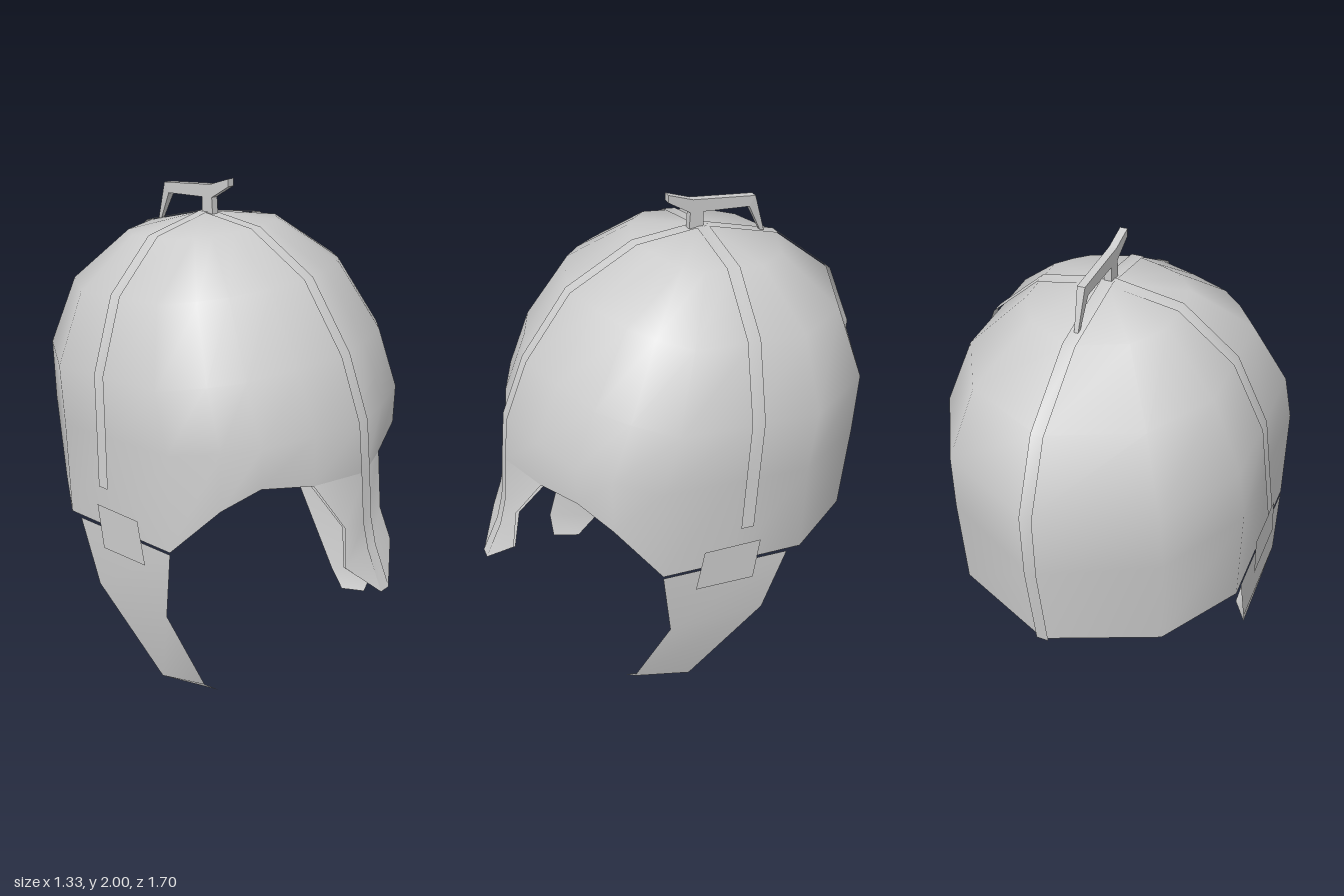
import * as THREE from 'three';
import { mergeVertices } from 'three/addons/utils/BufferGeometryUtils.js';

const material = new THREE.MeshStandardMaterial({ color: 0xcccccc, side: THREE.DoubleSide });

// Smooth sheet through rows of [x, y, z] points; rows x columns faces outward.
function sheet(name, rows) {
  const n = rows[0].length, index = [];
  for (let i = 0; i < rows.length - 1; i++) {
    for (let j = 0; j < n - 1; j++) {
      const a = i * n + j, b = a + n;
      index.push(a, b, a + 1, a + 1, b, b + 1);
    }
  }
  let g = new THREE.BufferGeometry();
  g.setAttribute('position', new THREE.Float32BufferAttribute(rows.flat(2), 3));
  g.setIndex(index);
  g = mergeVertices(g, 1e-4);
  g.computeVertexNormals();
  const mesh = new THREE.Mesh(g, material);
  mesh.name = name;
  return mesh;
}

const flip = ([x, y, z]) => [-x, y, z];
const mirrorRows = (rows) => rows.map((r) => r.map(flip).reverse());
// Completes a front-to-back half row into a closed ring.
const fullRing = (half) => [...half, ...half.slice(0, -1).reverse().map(flip)];

// Half outline of the helmet, front to back: [x as share of width, z]
const plan = [[0, 0.69], [0.32, 0.63], [0.635, 0.55], [0.81, 0.45], [1, 0.3],
  [1, 0], [1, -0.31], [0.69, -0.64], [0, -0.845]];

// Tilted rings, top to bottom: half width, front [y, z], back [y, z], drop at the sides
const rings = [
  { w: 0.28, f: [1.83, 0.13], b: [1.76, -0.47], dip: 0 },
  { w: 0.49, f: [1.69, 0.4], b: [1.55, -0.73], dip: 0.015 },
  { w: 0.61, f: [1.44, 0.59], b: [1.27, -0.85], dip: 0.025 },
  { w: 0.63, f: [1.2, 0.69], b: [1.0, -0.845], dip: 0 },
];
const apex = [0, 1.852, -0.15];

// Lower rim with the raised eye openings
const rim = [[0, 1.0, 0.715], [0.2, 0.985, 0.63], [0.4, 1.02, 0.55], [0.51, 0.93, 0.45],
  [0.63, 0.74, 0.3], [0.63, 0.703, 0], [0.63, 0.667, -0.31], [0.43, 0.635, -0.62], [0, 0.61, -0.79]];

function ringPoints({ w, f, b, dip }) {
  return plan.map(([px, pz]) => {
    const t = (pz + 0.845) / 1.535;
    return [px * w, b[0] + (f[0] - b[0]) * t - dip * px, b[1] + (f[1] - b[1]) * t];
  });
}

// Moves a point from the outer wall to the inner wall
const inset = ([x, y, z]) => [x * 0.972, y - 0.02 * Math.max(0, y - 1) / 0.85, -0.08 + (z + 0.08) * 0.972];

export function createModel() {
  const group = new THREE.Group();
  group.name = 'helmet';

  // Domed shell, and a lining that starts with the thickness of the rim
  const shellRows = [plan.map(() => apex), ...rings.map(ringPoints), rim];
  group.add(sheet('shell', shellRows.map(fullRing)));
  const liningRows = [rim, ...shellRows.map((r) => r.map(inset)).reverse()];
  group.add(sheet('lining', liningRows.map(fullRing)));

  // Nose guard in two layers that meet at the tip: side and centre point of each row
  const nose = [
    [[0.2, 0.985, 0.63], [0, 1.0, 0.715]],
    [[0.11, 0.8, 0.72], [0, 0.8, 0.737]],
    [[0.145, 0.655, 0.755], [0, 0.69, 0.767]],
    [[0.025, 0.53, 0.845], [0, 0.53, 0.847]],
  ];
  for (const [name, gap] of [['noseGuard', 0], ['noseGuardBack', 0.007]]) {
    group.add(sheet(name, nose.map(([s, c], i) => [flip(s), c, s]
      .map(([x, y, z]) => [x, y, z - gap * (3 - i)]))));
  }

  // Band along the middle, from the back rim over the top to the nose tip
  const e = 0.003;
  const middle = [
    [0.61, -0.79 - e],
    ...[...rings].reverse().map((r) => [r.b[0] + e, r.b[1] - e]),
    [apex[1] + e, apex[2]],
    ...rings.map((r) => [r.f[0] + e, r.f[1] + e]),
    [1.0, 0.715 + e], [0.8, 0.737 + e], [0.69, 0.767 + e], [0.53, 0.847],
  ];
  group.add(sheet('middleBand', middle.map(([y, z]) => [[-0.025, y, z], [0.025, y, z]])));

  // Band across the head, standing slightly off at its lower ends
  const across = [[0.667, 0.9], [0.645, 1.1], [0.619, 1.345], [0.496, 1.622], [0.283, 1.804]];
  const path = [...across.map(([x, y]) => [-x, y]), [0, apex[1] + e], ...[...across].reverse()];
  group.add(sheet('crossBand', path.map(([x, y]) => {
    const z = -0.037 - (y - 0.9) * 0.11;
    return [[x, y + 0.003, z + 0.027], [x, y - 0.003, z - 0.027]];
  })));

  // Cheek guards, curling in at the tip, and their hinge plates
  const cheek = [
    [[0.63, 0.73, 0.3], [0.63, 0.66, -0.25]],
    [[0.63, 0.43, 0.27], [0.63, 0.38, -0.15]],
    [[0.555, 0.125, 0.4], [0.56, 0.025, 0.15]],
    [[0.48, 0.055, 0.41], [0.48, 0.005, 0.28]],
  ];
  const plate = [
    [[0.642, 0.81, 0.13], [0.642, 0.785, -0.115]],
    [[0.642, 0.625, 0.165], [0.642, 0.59, -0.09]],
  ];
  for (const [side, fix] of [['left', (r) => r], ['right', mirrorRows]]) {
    group.add(sheet(side + 'CheekGuard', fix(cheek)));
    group.add(sheet(side + 'HingePlate', fix(plate)));
  }

  // Crest holder on top, drawn in the (z, y) plane
  const outline = [[0, 2], [0, 1.97], [-0.09, 1.915], [-0.085, 1.84], [-0.145, 1.84],
    [-0.145, 1.91], [-0.34, 1.895], [-0.4, 1.775], [-0.415, 1.775], [-0.365, 1.935], [-0.1, 1.965]];
  const shape = new THREE.Shape(outline.map(([z, y]) => new THREE.Vector2(-z, y)));
  const crestGeo = new THREE.ExtrudeGeometry(shape, { depth: 0.03, bevelEnabled: false });
  crestGeo.translate(0, 0, -0.015);
  crestGeo.rotateY(Math.PI / 2);
  // Narrow the rear leg toward its foot
  const p = crestGeo.attributes.position;
  for (let i = 0; i < p.count; i++) if (p.getZ(i) < -0.38) p.setX(i, p.getX(i) * 0.5);
  crestGeo.computeVertexNormals();
  const crest = new THREE.Mesh(crestGeo, material);
  crest.name = 'crestHolder';
  group.add(crest);

  return group;
}
